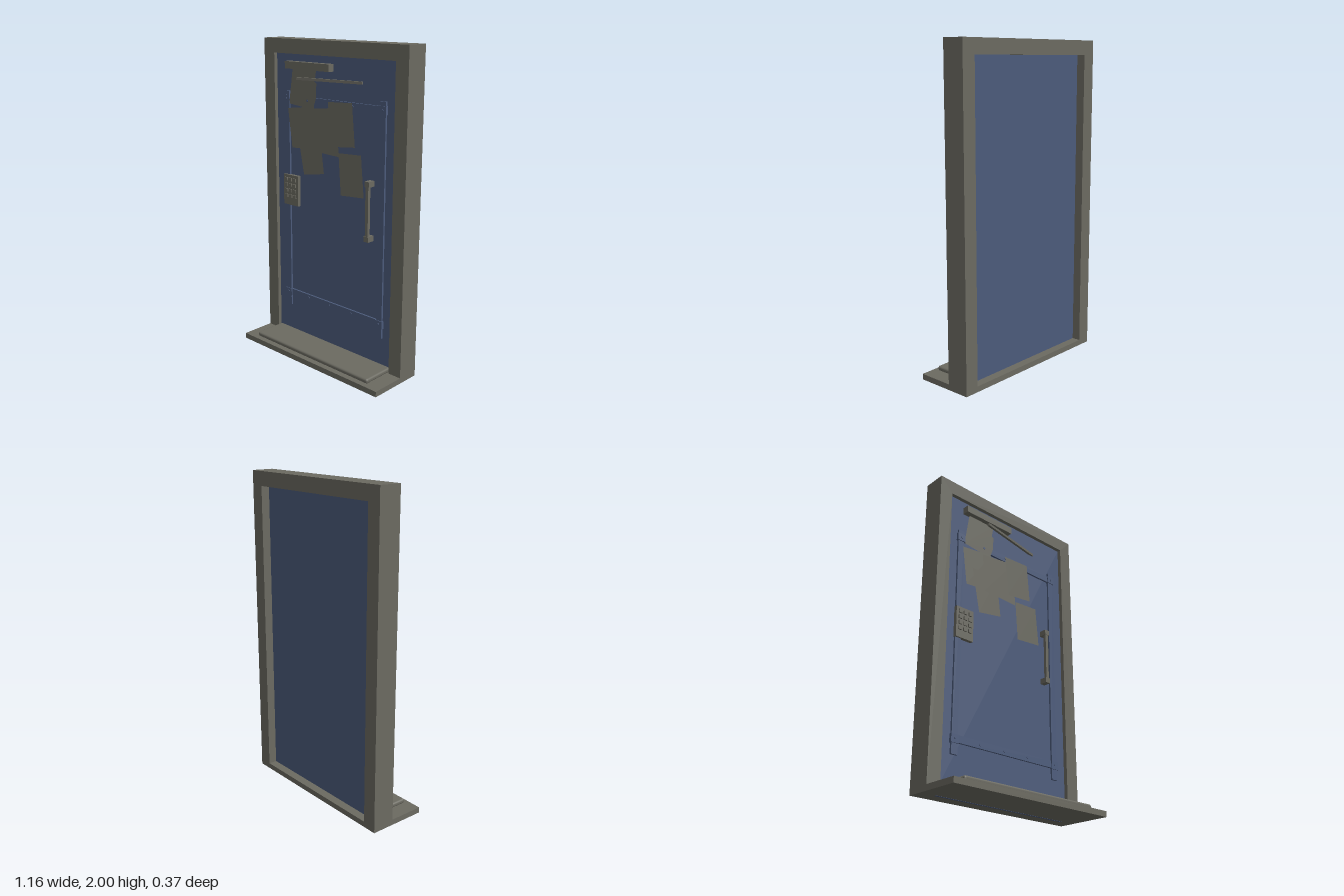
import * as THREE from 'three';
import { RoundedBoxGeometry } from 'three/addons/geometries/RoundedBoxGeometry.js';

export function createModel() {
  const model = new THREE.Group();
  model.name = 'securityDoor';
  const grey = new THREE.MeshStandardMaterial({ color: 0x6b6a61 });
  grey.name = 'warm grey';
  const blue = new THREE.MeshStandardMaterial({ color: 0x4c5b7b });
  blue.name = 'slate blue';
  const paperGrey = grey.clone();
  paperGrey.name = 'paper grey';
  paperGrey.side = THREE.DoubleSide;

  const add = (name, geometry, material, parent = model) => {
    const mesh = new THREE.Mesh(geometry, material);
    mesh.name = name;
    parent.add(mesh);
    return mesh;
  };
  // Box given by its limits on each axis
  const box = (name, x0, x1, y0, y1, z0, z1, material, parent) => {
    const mesh = add(name, new THREE.BoxGeometry(x1 - x0, y1 - y0, z1 - z0), material, parent);
    mesh.position.set((x0 + x1) / 2, (y0 + y1) / 2, (z0 + z1) / 2);
    return mesh;
  };
  const polygon = (points) => new THREE.Shape(points.map(([x, y]) => new THREE.Vector2(x, y)));

  const FACE = -0.065; // front of the door leaf
  const BACK = -0.13;

  // Frame with its opening
  const outline = polygon([[-0.58, 0], [0.58, 0], [0.58, 2], [-0.58, 2]]);
  outline.holes.push(polygon([[-0.49, 0.035], [-0.49, 1.91], [0.49, 1.91], [0.49, 0.035]]));
  const frame = add('doorFrame', new THREE.ExtrudeGeometry(outline, { depth: 0.145, bevelEnabled: false }), grey);
  frame.position.z = -0.185;

  // Door leaf, and its lower edge showing under the sill
  box('doorLeaf', -0.49, 0.49, 0.035, 1.91, BACK, FACE, blue);
  box('leafBottomEdge', -0.48, 0.48, -0.001, 0.004, -0.1, -0.085, blue);

  // Step and mat
  box('step', -0.58, 0.58, 0, 0.035, -0.04, 0.185, grey);
  const mat = add('doormat', new RoundedBoxGeometry(0.97, 0.03, 0.22, 3, 0.012), grey);
  mat.position.set(0, 0.05, 0.045);

  // Reinforcing bars with brackets and bolts
  const bars = new THREE.Group();
  bars.name = 'reinforcement';
  model.add(bars);
  for (const side of [-1, 1]) {
    const x = side * 0.394;
    box('uprightBar', x - 0.022, x + 0.022, 0.235, 1.68, FACE, FACE + 0.012, blue, bars);
    for (const y of [0.325, 1.63]) {
      box('bracket', x - 0.028, x + 0.028, y - 0.025, y + 0.025, FACE, FACE + 0.017, blue, bars);
    }
  }
  const boltGeometry = new THREE.CylinderGeometry(0.008, 0.008, 0.006, 8).rotateX(Math.PI / 2);
  for (const y of [0.328, 1.63]) {
    box('crossBar', -0.375, 0.375, y - 0.022, y + 0.022, FACE, FACE + 0.012, blue, bars);
    for (let i = 0; i < 5; i++) {
      const x = -0.394 + i * 0.186 + (i === 4 ? 0.03 : 0);
      const end = i === 0 || i === 4;
      add('bolt', boltGeometry, blue, bars).position.set(end ? Math.sign(x) * 0.394 : x, y, FACE + (end ? 0.018 : 0.013));
    }
  }

  // Overlapping pinned papers
  const sheets = [
    [[-0.335, 1.83], [-0.13, 1.83], [-0.145, 1.75], [-0.13, 1.74], [-0.135, 1.65], [-0.16, 1.58], [-0.37, 1.6]],
    [[-0.38, 1.57], [-0.15, 1.6], [-0.1, 1.34], [-0.345, 1.32]],
    [[-0.3, 1.45], [-0.1, 1.45], [-0.065, 1.19], [-0.24, 1.16]],
    [[-0.22, 1.58], [0.04, 1.61], [0.06, 1.315], [-0.2, 1.325]],
    [[-0.03, 1.64], [0.165, 1.65], [0.19, 1.39], [0, 1.37]],
    [[0.06, 1.34], [0.24, 1.35], [0.265, 1.095], [0.08, 1.08]],
  ];
  sheets.forEach((points, i) => {
    add('paper', new THREE.ShapeGeometry(polygon(points)), paperGrey).position.z = FACE + 0.013 + i * 0.001;
  });

  // Name board and slanted rod
  box('topBoard', -0.375, 0, 1.82, 1.865, FACE, -0.022, grey);
  const rod = add('slantedRod', new THREE.BoxGeometry(0.47, 0.016, 0.015), grey);
  rod.position.set(0, 1.77, -0.025);
  rod.rotation.y = Math.atan2(0.076, 0.46);

  // Keypad
  const keypad = new THREE.Group();
  keypad.name = 'keypad';
  model.add(keypad);
  box('keypadBody', -0.42, -0.29, 0.94, 1.14, FACE, -0.042, grey, keypad);
  for (let row = 0; row < 4; row++) {
    for (let col = 0; col < 3; col++) {
      const x = -0.392 + col * 0.037;
      const y = 1.11 - row * 0.037;
      box('key', x - 0.012, x + 0.012, y - 0.011, y + 0.011, -0.045, -0.034, grey, keypad);
    }
  }

  // Pull handle
  const handle = new THREE.Group();
  handle.name = 'pullHandle';
  model.add(handle);
  for (const y of [0.858, 1.193]) {
    box('handleMount', 0.297, 0.331, y - 0.017, y + 0.017, FACE, -0.015, grey, handle);
  }
  box('handleGrip', 0.303, 0.325, 0.858, 1.193, -0.037, -0.018, grey, handle);

  return model;
}
